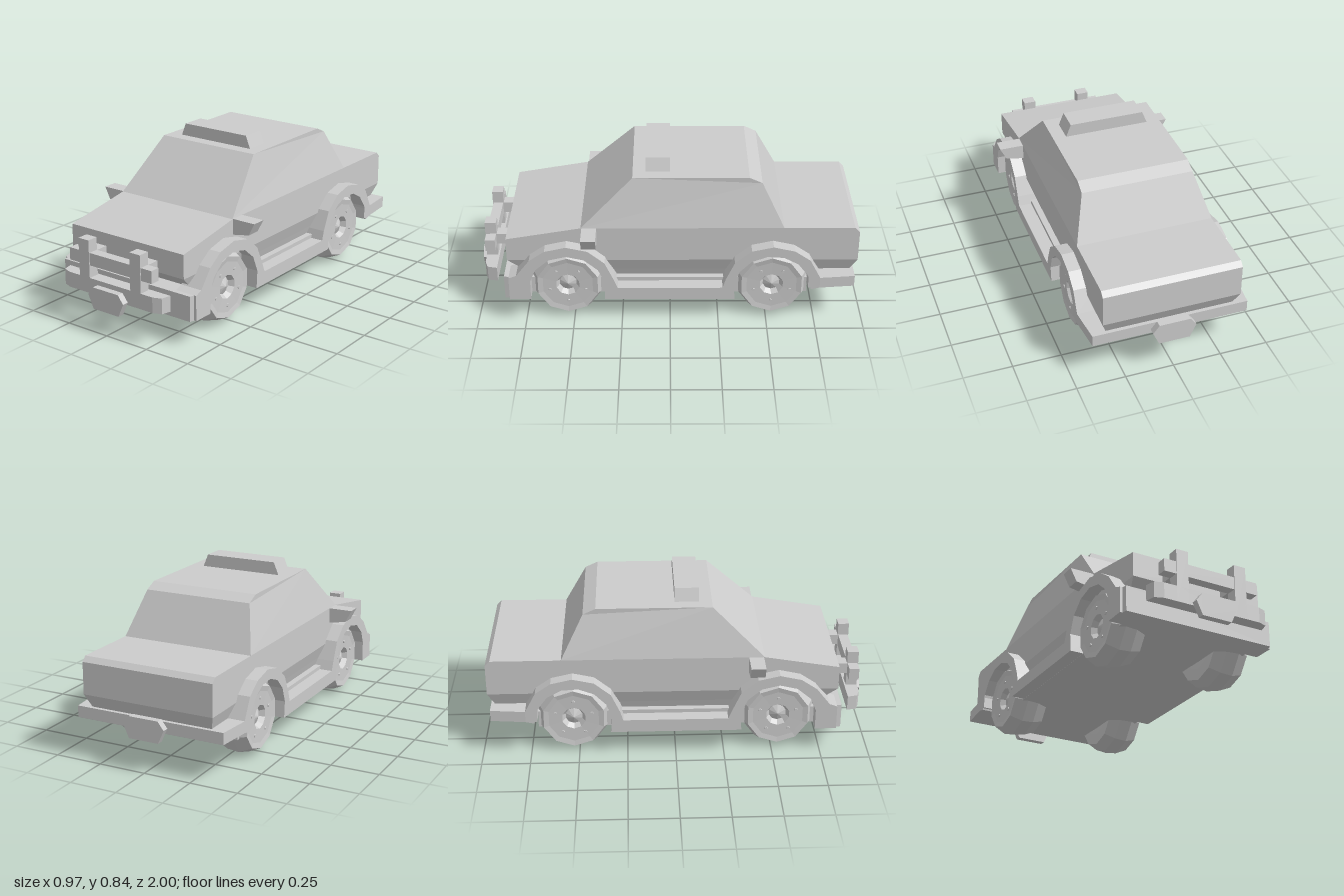
import * as THREE from 'three';

const material = new THREE.MeshStandardMaterial({ color: 0xcccccc, flatShading: true });

function add(parent, name, geometry, x = 0, y = 0, z = 0) {
  const mesh = new THREE.Mesh(geometry, material);
  mesh.name = name;
  mesh.position.set(x, y, z);
  parent.add(mesh);
  return mesh;
}

function box(parent, name, [x0, x1], [y0, y1], [z0, z1]) {
  const geometry = new THREE.BoxGeometry(x1 - x0, y1 - y0, z1 - z0);
  return add(parent, name, geometry, (x0 + x1) / 2, (y0 + y1) / 2, (z0 + z1) / 2);
}

function extrude(points, depth) {
  const shape = new THREE.Shape(points.map(([x, y]) => new THREE.Vector2(x, y)));
  return new THREE.ExtrudeGeometry(shape, { depth, bevelEnabled: false });
}

// Plan outline in (x, z), extruded upwards
const extrudePlan = (points, height) =>
  extrude(points.map(([x, z]) => [x, -z]), height).rotateX(-Math.PI / 2);

// Stacked four-cornered rings: [half width, front z, front y, back z, back y]
function loft(rings) {
  const position = [];
  const index = [];
  for (const [w, fz, fy, bz, by] of rings) {
    position.push(w, fy, fz, w, by, bz, -w, by, bz, -w, fy, fz);
  }
  for (let r = 0; r < rings.length - 1; r++) {
    for (let i = 0; i < 4; i++) {
      const a = r * 4 + i;
      const b = r * 4 + (i + 1) % 4;
      index.push(a, b, b + 4, a, b + 4, a + 4);
    }
  }
  const t = (rings.length - 1) * 4;
  index.push(0, 2, 1, 0, 3, 2, t, t + 1, t + 2, t, t + 2, t + 3);
  const geometry = new THREE.BufferGeometry();
  geometry.setAttribute('position', new THREE.Float32BufferAttribute(position, 3));
  geometry.setIndex(index);
  const flat = geometry.toNonIndexed();
  flat.computeVertexNormals();
  return flat;
}

// Points of a wheel arch around (cz, 0.19), from angle a0 to a1
function arch(cz, a0, a1, radius = 0.2, steps = 8) {
  return Array.from({ length: steps + 1 }, (_, i) => {
    const a = a0 + (a1 - a0) * i / steps;
    return [cz + radius * Math.cos(a), 0.19 + radius * Math.sin(a)];
  });
}

const AXLES = [0.53, -0.525];

// Side skirt with both wheel arch flares, profile in (z, y)
function flareGeometry() {
  return extrude([
    [0.83, 0.13], [0.83, 0.26], [0.79, 0.275], [0.72, 0.365], [0.64, 0.42], [0.53, 0.445],
    [0.42, 0.42], [0.335, 0.35], [0.29, 0.25], [0.27, 0.2],
    [-0.27, 0.2], [-0.285, 0.25], [-0.33, 0.35], [-0.415, 0.42], [-0.525, 0.445],
    [-0.635, 0.42], [-0.715, 0.365], [-0.77, 0.26], [-0.77, 0.2],
    ...arch(AXLES[1], Math.PI, -0.3),
    ...arch(AXLES[0], Math.PI + 0.3, -0.3),
  ], 0.12).rotateY(-Math.PI / 2);
}

function createWheel(side) {
  const wheel = new THREE.Group();
  const profile = [
    [0, -0.09], [0.1, -0.095], [0.16, -0.095], [0.186, -0.035], [0.193, 0.03],
    [0.163, 0.095], [0.135, 0.09], [0.062, 0.088],
  ].map(([r, y]) => new THREE.Vector2(r, y));
  add(wheel, 'tyre', new THREE.LatheGeometry(profile, 10, Math.PI / 10));
  // Dished hub with a raised centre
  const hub = [[0.064, 0.088], [0.045, 0.06], [0, 0.08]].map(([r, y]) => new THREE.Vector2(r, y));
  add(wheel, 'hub', new THREE.LatheGeometry(hub, 10, Math.PI / 10));
  for (let i = 0; i < 5; i++) {
    const a = i * Math.PI * 2 / 5;
    add(wheel, 'wheelNut', new THREE.CylinderGeometry(0.008, 0.01, 0.008, 5),
      0.098 * Math.cos(a), 0.09, 0.098 * Math.sin(a));
  }
  wheel.rotation.z = -side * Math.PI / 2;
  return wheel;
}

export function createModel() {
  const car = new THREE.Group();
  car.name = 'car';

  // Body shell with bonnet, cabin and boot
  add(car, 'body', loft([
    [0.31, 0.76, 0.2, -0.93, 0.2],
    [0.33, 0.76, 0.26, -0.93, 0.26],
    [0.355, 0.84, 0.33, -0.965, 0.33],
    [0.355, 0.84, 0.455, -0.965, 0.495],
    [0.355, 0.455, 0.52, -0.94, 0.52],
    [0.355, 0.455, 0.52, -0.58, 0.52],
    [0.29, 0.19, 0.775, -0.465, 0.745],
    [0.29, 0.19, 0.775, -0.4, 0.775],
  ]));
  add(car, 'roofSign', loft([
    [0.225, 0.125, 0.765, 0, 0.765],
    [0.195, 0.125, 0.84, 0, 0.84],
  ]));
  box(car, 'floor', [-0.35, 0.35], [0.13, 0.22], [-0.71, 0.8]);

  // Bumpers with tapered corners
  add(car, 'frontBumper', extrudePlan([
    [-0.42, 0.72], [-0.42, 0.77], [-0.402, 0.855], [0.402, 0.855], [0.42, 0.77], [0.42, 0.72],
  ], 0.13), 0, 0.13);
  add(car, 'rearBumper', extrudePlan([
    [-0.42, -0.71], [-0.42, -0.77], [-0.402, -0.95], [0.402, -0.95], [0.42, -0.77], [0.42, -0.71],
  ], 0.06), 0, 0.2);

  for (const side of [1, -1]) {
    const label = side > 0 ? 'left' : 'right';
    add(car, label + 'Flares', flareGeometry(), side > 0 ? 0.42 : -0.3);

    const mirror = [[0.34, 0.435], [0.45, 0.455], [0.483, 0.52], [0.34, 0.52]];
    add(car, label + 'Mirror', extrude(mirror.map(([x, y]) => [x * side, y]), 0.075), 0, 0, 0.375);

    AXLES.forEach((z, i) => {
      const wheel = createWheel(side);
      wheel.name = label + (i ? 'Rear' : 'Front') + 'Wheel';
      wheel.position.set(side * 0.29, 0.193, z);
      car.add(wheel);
    });
  }

  // Bull bar: two posts on brackets, a crossbar and a lower bar
  const bullBar = new THREE.Group();
  bullBar.name = 'bullBar';
  car.add(bullBar);
  for (const side of [1, -1]) {
    const span = [side * 0.1625 - 0.0325, side * 0.1625 + 0.0325];
    box(bullBar, 'post', span, [0.18, 0.455], [0.908, 0.966]);
    box(bullBar, 'bracket', span, [0.33, 0.388], [0.82, 0.93]);
  }
  box(bullBar, 'crossbar', [-0.26, 0.26], [0.325, 0.39], [0.91, 0.962]);
  add(bullBar, 'lowerBar', extrudePlan([
    [-0.322, 0.9], [-0.31, 0.95], [-0.265, 0.966], [0.265, 0.966], [0.31, 0.95], [0.322, 0.9],
  ], 0.08), 0, 0.18);

  // Six-sided plates at both ends
  const plate = extrude([
    [-0.08, 0], [0.08, 0], [0.112, 0.07], [0.08, 0.112], [-0.08, 0.112], [-0.112, 0.07],
  ], 0.035);
  add(car, 'frontPlate', plate, 0, 0.123, 0.965);
  add(car, 'rearPlate', plate, 0, 0.165, -1);

  return car;
}
